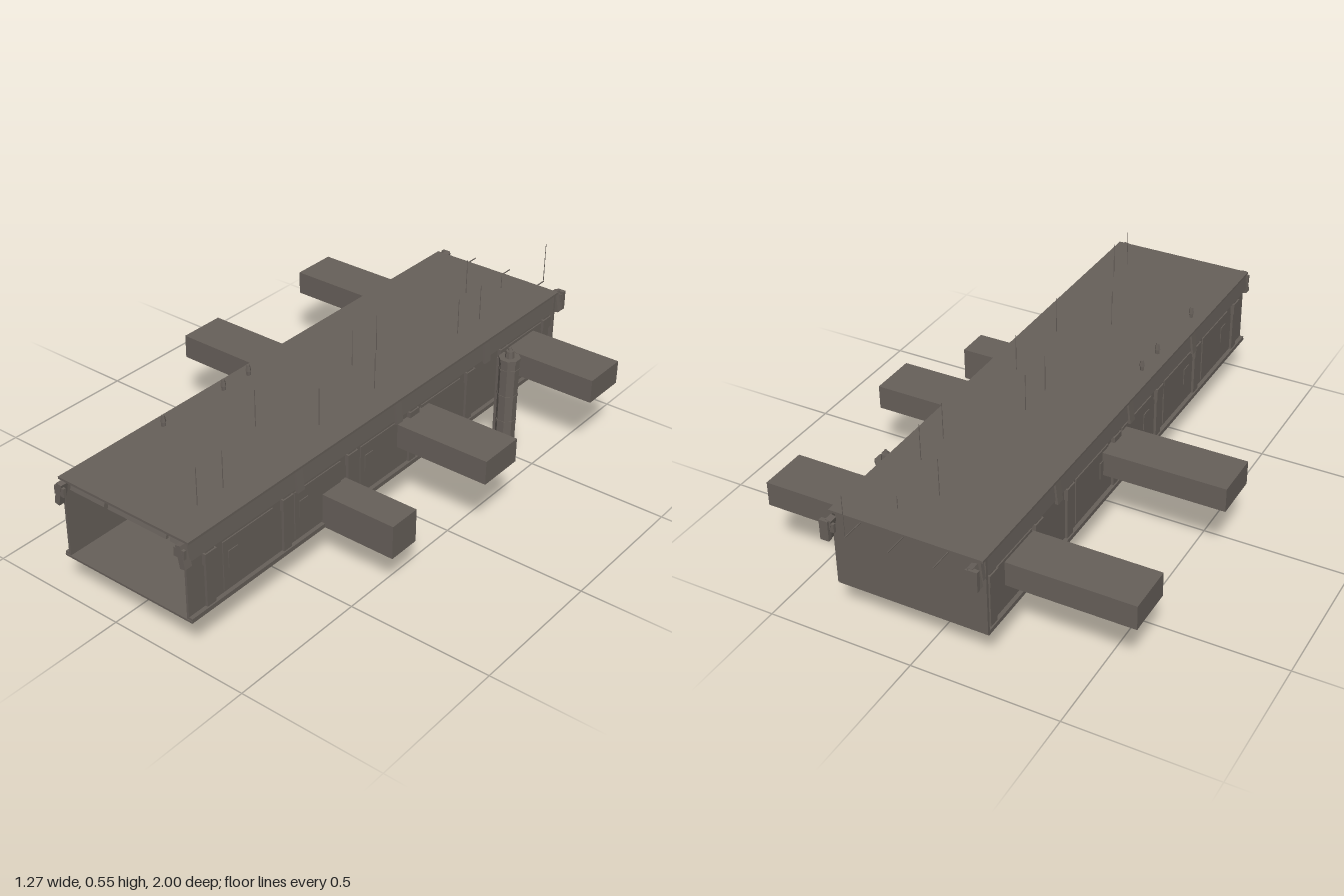
import * as THREE from 'three';

export function createModel() {
  const root = new THREE.Group();
  const hull = new THREE.MeshStandardMaterial({ color: 0x67605a, side: THREE.DoubleSide });
  hull.name = 'warm grey';
  const CX = 0.04, HALF = 0.26; // body centre line and half width

  const add = (name, geo, parent = root) => {
    const m = new THREE.Mesh(geo, hull);
    m.name = name;
    parent.add(m);
    return m;
  };
  // Box given by its limits on each axis
  const box = (name, x0, x1, y0, y1, z0, z1, parent = root) => {
    const m = add(name, new THREE.BoxGeometry(Math.abs(x1 - x0), y1 - y0, z1 - z0), parent);
    m.position.set((x0 + x1) / 2, (y0 + y1) / 2, (z0 + z1) / 2);
    return m;
  };
  const cyl = (name, r0, r1, x, y0, y1, z, n = 8, parent = root) => {
    const m = add(name, new THREE.CylinderGeometry(r1, r0, y1 - y0, n).toNonIndexed(), parent);
    m.geometry.computeVertexNormals();
    m.position.set(x, (y0 + y1) / 2, z);
    m.rotation.y = Math.PI / n;
    return m;
  };
  const pipe = (name, pts, r) => {
    const path = new THREE.CurvePath();
    const v = pts.map(p => new THREE.Vector3(...p));
    for (let i = 1; i < v.length; i++) path.add(new THREE.LineCurve3(v[i - 1], v[i]));
    return add(name, new THREE.TubeGeometry(path, 24, r, 6));
  };

  // Shell: floor, roof and closed rear; the front is open
  box('floor', CX - HALF, CX + HALF, 0.135, 0.142, -0.91, 0.98);
  box('roof', CX - HALF, CX + HALF, 0.412, 0.42, -0.93, 0.98);
  box('rearWall', CX - HALF, CX + HALF, 0.142, 0.412, -0.915, -0.905);
  box('frontBeam', CX - 0.23, CX + 0.23, 0.395, 0.412, 0.955, 0.965);
  for (const [a, b] of [[-0.17, -0.03], [-0.015, 0.215], [0.23, 0.27]])
    box('frontFascia', a, b, 0.393, 0.415, 0.968, 0.978).rotation.x = -0.3;

  // Both long sides, mirrored about the centre line
  for (const s of [-1, 1]) {
    const X = d => CX + s * d;
    box('sideWall', X(0.238), X(0.246), 0.142, 0.412, -0.905, 0.978);
    box('sill', X(0.24), X(0.26), 0.142, 0.15, -0.905, 0.978);
    // Pillars with capitals
    for (const z of [0.89, 0.55, 0.24, -0.08, -0.4, -0.6, -0.87]) {
      box('pillar', X(0.244), X(0.255), 0.142, 0.35, z - 0.018, z + 0.018);
      box('pillarCap', X(0.244), X(0.26), 0.3, 0.34, z - 0.024, z + 0.024);
    }
    // Wall panels
    for (const z of [0.72, 0.4, 0.08, -0.24, -0.74]) {
      box('wallPanel', X(0.245), X(0.25), 0.16, 0.33, z - 0.11, z + 0.11);
      box('hatch', X(0.249), X(0.253), 0.23, 0.29, z + 0.05, z + 0.09);
    }
    // Roof edge fascia in four lengths
    for (const [a, b] of [[0.51, 0.975], [0.02, 0.49], [-0.47, 0], [-0.93, -0.5]])
      box('sideFascia', X(0.249), X(0.256), 0.35, 0.413, a, b).rotation.z = s * 0.1;
    // Slanted brackets over the fascia joints
    for (const z of [0.5, 0.01, -0.485]) {
      const b = box('fasciaBracket', X(0.253), X(0.263), 0.337, 0.418, z - 0.016, z + 0.016);
      b.rotation.z = s * 0.12;
    }
    // Corner brackets at both ends
    for (const [z, t] of [[0.985, 1], [-0.95, -1]]) {
      const b = box('cornerBracket', X(0.235), X(0.255), 0.335, 0.412, z - 0.014, z + 0.014);
      b.rotation.z = s * 0.2;
      box('cornerTab', X(0.22), X(0.26), 0.37, 0.4, z - 0.005 + t * 0.008, z + 0.005 + t * 0.008);
    }
    box('rearCornerArm', X(0.235), X(0.265), 0.34, 0.41, -0.972, -0.957);
  }

  // Docking tunnels
  for (const z of [-0.71, -0.085]) box('crossTunnel', -0.635, 0.632, 0.235, 0.32, z - 0.085, z + 0.085);
  box('sideTunnel', 0.28, 0.56, 0.136, 0.254, 0.262, 0.38);

  // Two standing columns, one outside and one under the floor
  for (const x of [0.352, 0.032]) {
    const col = new THREE.Group();
    col.name = 'column';
    col.position.set(x, 0, -0.55);
    root.add(col);
    cyl('columnShaft', 0.035, 0.035, 0, 0, 0.335, 0, 8, col);
    for (const y of [0.1, 0.2, 0.3]) cyl('columnBand', 0.037, 0.037, 0, y, y + 0.006, 0, 8, col);
    cyl('columnDeck', 0.038, 0.038, 0, 0.335, 0.345, 0, 8, col);
    cyl('columnHead', 0.017, 0.014, 0, 0.345, 0.37, 0, 8, col);
    cyl('columnKnob', 0.009, 0.005, 0, 0.37, 0.382, 0, 6, col);
    box('columnDoor', -0.013, 0.013, 0.003, 0.046, 0.03, 0.038, col);
    box('columnStep', -0.016, 0.016, 0, 0.005, 0.03, 0.05, col);
    box('columnSpine', -0.045, -0.03, 0.02, 0.33, -0.01, 0.01, col);
  }

  // Tall pipes rising through the roof along the left in front view
  for (const z of [0.19, 0.31, 0.585]) {
    cyl('ventPipe', 0.007, 0.007, -0.172, 0.14, 0.44, z, 6);
    cyl('ventCap', 0.01, 0.006, -0.172, 0.436, 0.458, z, 6);
    for (const y of [0.2, 0.27, 0.34]) cyl('ventCollar', 0.011, 0.011, -0.172, y, y + 0.012, z, 6);
    pipe('loopPipe', [[-0.172, 0.36, z], [-0.135, 0.37, z], [-0.125, 0.36, z], [-0.125, 0.142, z]], 0.005);
  }

  // Machinery along the other interior wall
  [0.6, 0.3, 0].forEach((z, i) => {
    box('cabinet', 0.225, 0.27, 0.142, 0.3 + i * 0.02, z - 0.06, z + 0.06);
    cyl('tank', 0.025, 0.025, 0.16, 0.142, 0.22, z, 8);
    cyl('tankNeck', 0.011, 0.011, 0.16, 0.22, 0.39, z, 6);
    pipe('feedPipe', [[0.16, 0.3, z], [0.2, 0.3, z], [0.2, 0.142, z]], 0.005);
    box('console', 0.08, 0.125, 0.142, 0.18 + i * 0.05, z - 0.04, z + 0.04);
  });

  // Roof aerials: x, z, top
  const aerials = [
    [0.196, 0.83, 0.55], [0.196, 0.72, 0.55], [0.05, 0.41, 0.55], [0.196, 0.28, 0.55],
    [0.196, 0, 0.55], [0.05, -0.07, 0.55], [0.05, -0.2, 0.55], [0.196, -0.46, 0.55],
    [0.196, -0.59, 0.55], [0.05, -0.72, 0.55], [0.125, -0.83, 0.465],
  ];
  for (const [x, z, top] of aerials) cyl('aerial', 0.0015, 0.001, x, 0.418, top, z, 4);

  // Rear rods, one carrying an upright aerial
  for (const x of [-0.1, 0.05, 0.196])
    box('rearRod', x - 0.0015, x + 0.0015, 0.4, 0.403, -1, -0.905);
  cyl('rearAerial', 0.0015, 0.001, 0.196, 0.4, 0.55, -0.998, 4);

  return root;
}
